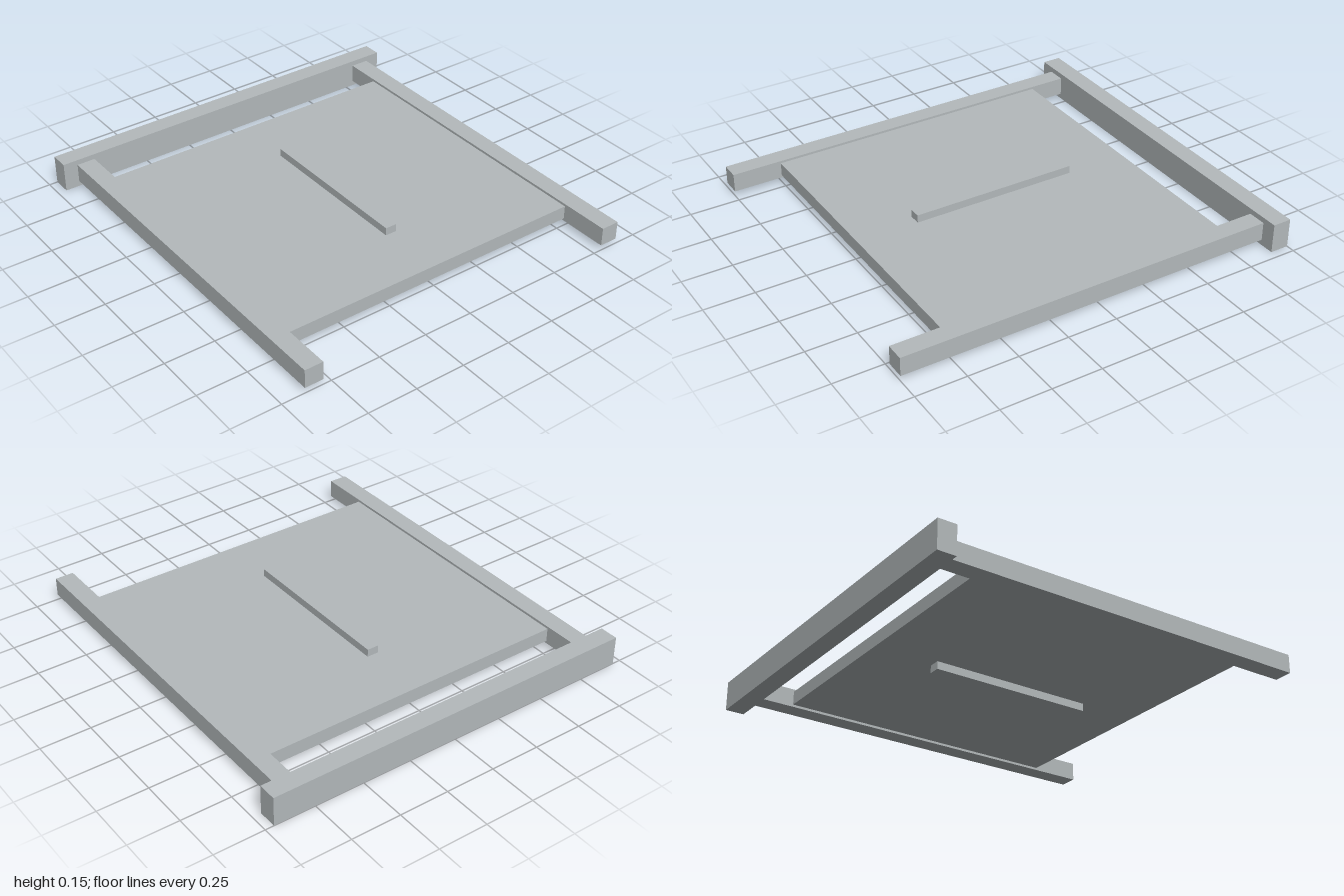
import * as THREE from 'three';

export function createModel() {
  const model = new THREE.Group();
  const grey = new THREE.MeshStandardMaterial({ color: 0xb4babc });
  grey.name = 'light grey';

  // Box given by its extents along each axis
  function addBox(name, [x0, x1], [y0, y1], [z0, z1]) {
    const mesh = new THREE.Mesh(new THREE.BoxGeometry(x1 - x0, y1 - y0, z1 - z0), grey);
    mesh.position.set((x0 + x1) / 2, (y0 + y1) / 2, (z0 + z1) / 2);
    mesh.name = name;
    model.add(mesh);
  }

  // Crossbeam along the back
  addBox('backBeam', [-0.957, 0.957], [0, 0.147], [-1, -0.906]);

  // Side rails running forward from the beam
  addBox('leftRail', [0.791, 0.884], [0.027, 0.12], [-0.906, 1]);
  addBox('rightRail', [-0.884, -0.791], [0.027, 0.12], [-0.906, 1]);

  // Flat panel between the rails
  addBox('panel', [-0.793, 0.793], [0.039, 0.108], [-0.722, 0.75]);

  // Narrow bar passing through the middle of the panel
  addBox('centreBar', [-0.029, 0.029], [0, 0.147], [-0.406, 0.438]);

  return model;
}
